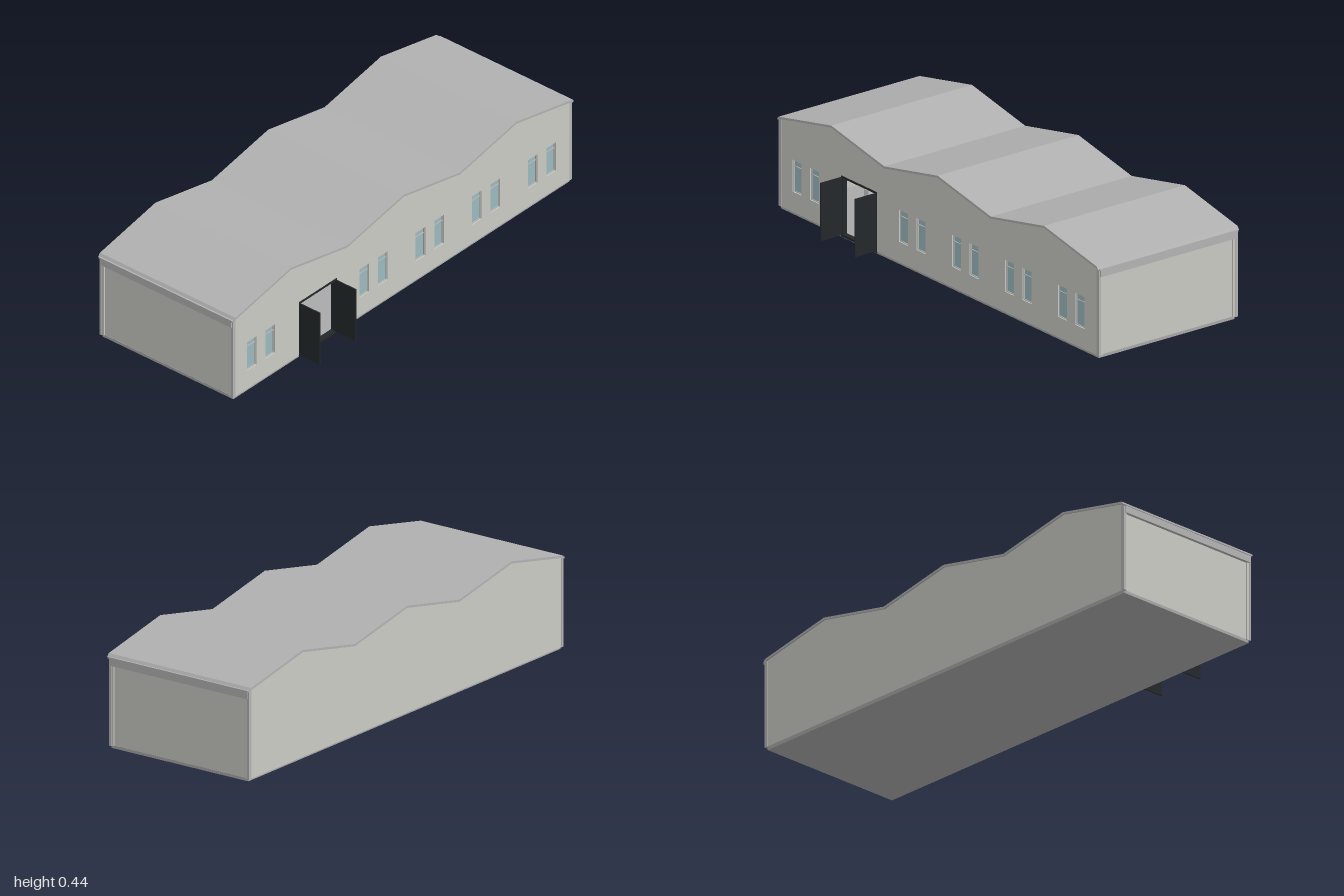
import * as THREE from 'three';

const mat = (color) => new THREE.MeshStandardMaterial({ color, side: THREE.DoubleSide });
const wallMat = mat(0xc9cac3), roofMat = mat(0xb0b0b0), trimMat = mat(0xb4b4b4);
const slabMat = mat(0xa8a8a8), darkMat = mat(0x24282a), glassMat = mat(0x9bb9be);
const orangeMat = mat(0xb07a3c), tealMat = mat(0x3f7482), paleMat = mat(0xd8d8d4);

// Roof line: three shallow gables with turned-down eaves
const ROOF = [[-0.996, 0.367], [-0.985, 0.38], [-0.66, 0.445], [-0.33, 0.38], [0, 0.445],
  [0.33, 0.38], [0.66, 0.445], [0.985, 0.38], [0.996, 0.367]];
const DOOR = { x0: -0.605, x1: -0.385, y0: 0.014, y1: 0.255 };
const WINDOWS = [-0.88, -0.773, -0.222, -0.113, 0.107, 0.216, 0.437, 0.545, 0.764, 0.872];
const WIN = { w: 0.056, y0: 0.094, y1: 0.225 };

export function createModel() {
  const building = new THREE.Group();
  building.name = 'hall';

  // Box given by its lower and upper limits on each axis
  function box(name, x0, x1, y0, y1, z0, z1, material, parent = building) {
    const mesh = new THREE.Mesh(new THREE.BoxGeometry(x1 - x0, y1 - y0, z1 - z0), material);
    mesh.position.set((x0 + x1) / 2, (y0 + y1) / 2, (z0 + z1) / 2);
    mesh.name = name;
    parent.add(mesh);
    return mesh;
  }
  function extrude(name, shape, z0, z1, material) {
    const geo = new THREE.ExtrudeGeometry(shape, { depth: z1 - z0, bevelEnabled: false });
    const mesh = new THREE.Mesh(geo, material);
    mesh.position.z = z0;
    mesh.name = name;
    building.add(mesh);
  }
  function group(name) {
    const g = new THREE.Group();
    g.name = name;
    building.add(g);
    return g;
  }
  const shapeOf = (pts) => new THREE.Shape(pts.map(([x, y]) => new THREE.Vector2(x, y)));
  const rectHole = (x0, x1, y0, y1) =>
    new THREE.Path([[x0, y0], [x0, y1], [x1, y1], [x1, y0]].map(([x, y]) => new THREE.Vector2(x, y)));

  // Floor slab
  box('floorSlab', -0.985, 0.985, 0, 0.012, -0.376, 0.282, slabMat);

  // Gabled long walls
  const wallOutline = [[-0.99, 0.01], [0.99, 0.01],
    ...ROOF.slice(1, -1).reverse().map(([x, y]) => [x, y - 0.008])];
  wallOutline.splice(2, 0, [0.99, 0.362]);
  wallOutline.push([-0.99, 0.362]);
  const front = shapeOf(wallOutline);
  front.holes.push(rectHole(DOOR.x0, DOOR.x1, DOOR.y0, DOOR.y1));
  for (const x of WINDOWS) front.holes.push(rectHole(x - WIN.w / 2, x + WIN.w / 2, WIN.y0, WIN.y1));
  extrude('frontWall', front, 0.268, 0.286, wallMat);
  extrude('backWall', shapeOf(wallOutline), -0.384, -0.366, wallMat);

  // Roof sheet
  const inner = ROOF.map(([x, y], i) => [i === 0 || i === 8 ? x * 0.99 : x, y - (i === 0 || i === 8 ? 0 : 0.009)]);
  extrude('roof', shapeOf([...ROOF, ...inner.reverse()].reverse()), -0.39, 0.294, roofMat);

  // Short walls, eave fascias and corner posts
  for (const [s, side] of [[1, 'left'], [-1, 'right']]) {
    const across = (name, a, b, ...rest) => box(name, Math.min(s * a, s * b), Math.max(s * a, s * b), ...rest);
    across(side + 'EndWall', 0.97, 0.984, 0.01, 0.37, -0.376, 0.28, wallMat);
    across(side + 'Fascia', 0.984, 0.997, 0.335, 0.363, -0.378, 0.282, trimMat);
    across(side + 'Gutter', 0.984, 1, 0.363, 0.37, -0.384, 0.288, trimMat);
    for (const [z0, z1] of [[0.278, 0.288], [-0.386, -0.376]])
      across(side + 'CornerPost', 0.978, 0.993, 0.01, 0.37, z0, z1, trimMat);
  }

  // Windows with recessed glass, frame and transom
  for (const x of WINDOWS) {
    const w = group('window'), h = WIN.w / 2, t = 0.003;
    box('glass', x - h, x + h, WIN.y0, WIN.y1, 0.274, 0.277, glassMat, w);
    for (const s of [-1, 1])
      box('windowJamb', x + s * (h - t / 2) - t / 2, x + s * (h - t / 2) + t / 2, WIN.y0, WIN.y1, 0.272, 0.281, trimMat, w);
    for (const y of [WIN.y0, 0.197, WIN.y1 - t])
      box('windowRail', x - h, x + h, y, y + t, 0.272, 0.281, trimMat, w);
  }

  // Doorway frame and two leaves standing open
  const frame = group('doorFrame'), { x0, x1, y0, y1 } = DOOR;
  box('leftJamb', x1 - 0.008, x1, y0, y1, 0.266, 0.289, darkMat, frame);
  box('rightJamb', x0, x0 + 0.008, y0, y1, 0.266, 0.289, darkMat, frame);
  box('lintel', x0, x1, y1 - 0.008, y1, 0.266, 0.289, darkMat, frame);
  box('threshold', x0, x1, 0.006, 0.015, 0.266, 0.289, darkMat, frame);
  box('rightDoorLeaf', x0, x0 + 0.005, 0.012, 0.25, 0.286, 0.39, darkMat);
  box('leftDoorLeaf', x1 - 0.008, x1 - 0.003, 0.012, 0.25, 0.286, 0.39, darkMat);

  // Railings inside the hall
  for (const [a, b] of [[-0.6, -0.52], [-0.465, -0.39]]) {
    const rail = group('railing');
    box('topRail', a, b, 0.078, 0.083, 0.05, 0.055, darkMat, rail);
    box('bottomRail', a, b, 0.035, 0.039, 0.05, 0.055, darkMat, rail);
    for (let i = 0; i < 6; i++) {
      const x = a + (b - a - 0.004) * i / 5;
      box('railPost', x, x + 0.004, i % 5 ? 0.036 : 0.012, 0.08, 0.05, 0.055, darkMat, rail);
    }
  }

  // Crates and hanging cabinet inside the door
  box('orangeCrate', -0.595, -0.565, 0.012, 0.05, 0.12, 0.17, orangeMat);
  box('tealCrate', -0.563, -0.54, 0.012, 0.05, 0.12, 0.17, tealMat);
  box('smallCrate', -0.538, -0.52, 0.012, 0.042, 0.12, 0.17, orangeMat);
  box('hangingCabinet', -0.59, -0.562, 0.125, 0.182, 0.16, 0.19, paleMat);
  box('cabinetHanger', -0.578, -0.574, 0.182, 0.385, 0.173, 0.177, darkMat);

  return building;
}
